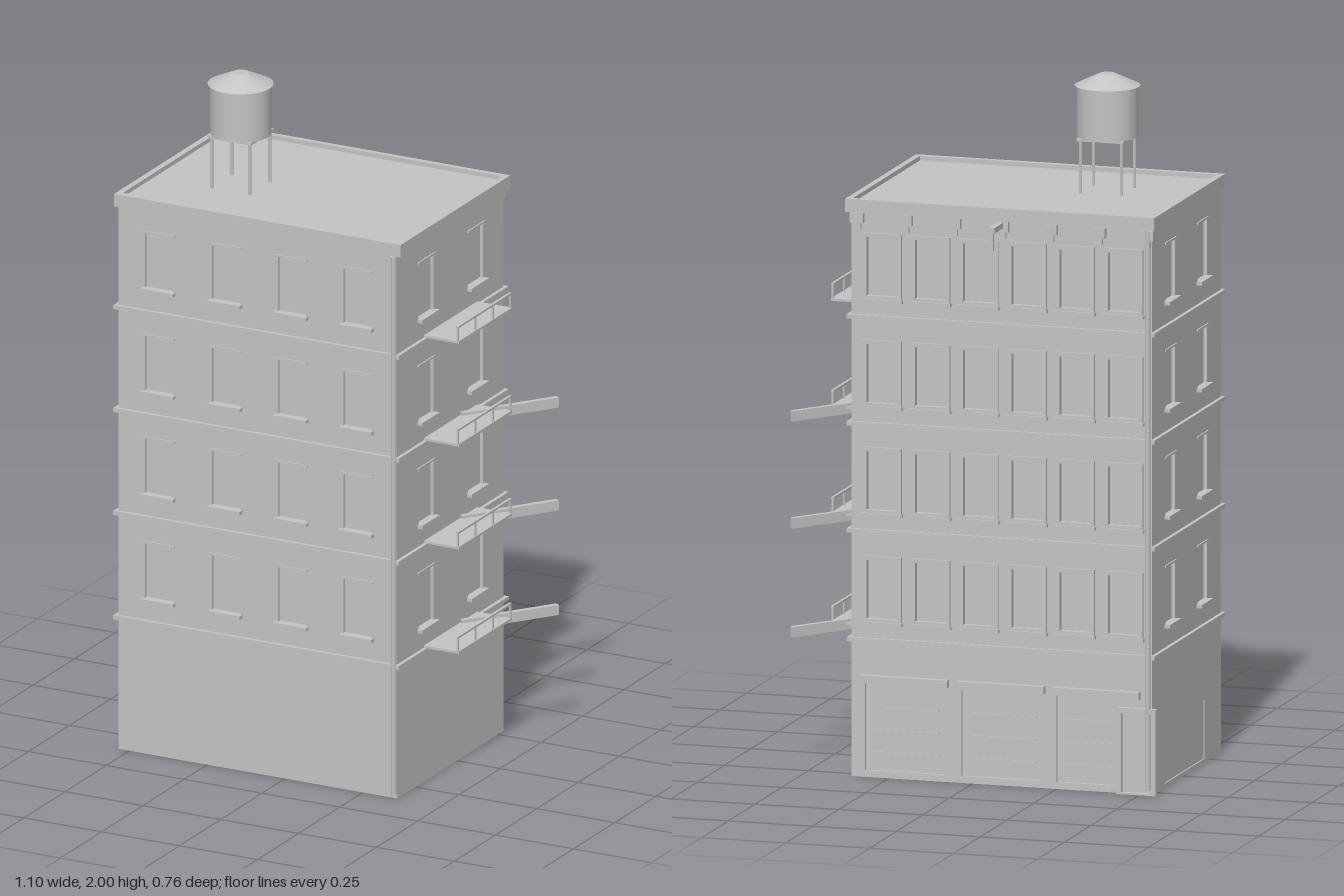
import * as THREE from 'three';

export function createModel() {
  const model = new THREE.Group();
  const grey = new THREE.MeshStandardMaterial({ color: 0xc4c4c4 });
  grey.name = 'plain grey';

  const add = (parent, name, geo, x = 0, y = 0, z = 0) => {
    const m = new THREE.Mesh(geo, grey);
    m.name = name;
    m.position.set(x, y, z);
    parent.add(m);
    return m;
  };
  // Box given by its lower and upper corners
  const box = (parent, name, x0, x1, y0, y1, z0, z1) =>
    add(parent, name, new THREE.BoxGeometry(x1 - x0, y1 - y0, z1 - z0),
      (x0 + x1) / 2, (y0 + y1) / 2, (z0 + z1) / 2);
  const rect = (Type, x0, x1, y0, y1) => new Type([
    new THREE.Vector2(x0, y0), new THREE.Vector2(x1, y0),
    new THREE.Vector2(x1, y1), new THREE.Vector2(x0, y1)]);

  const CX = -0.0875, CZ = 0.0375, HX = 0.4475, HZ = 0.3225, TOP = 1.635, SKIN = 0.01;
  const floors = [0.4, 0.715, 1.025, 1.335];

  // Core of the building, behind the wall skins
  box(model, 'core', CX - HX + SKIN, CX + HX - SKIN, 0, TOP, CZ - HZ + SKIN, CZ + HZ - SKIN);

  // Wall skin with openings [u0, u1, y0, y1]; u runs to the right seen from outside
  const wall = (name, turn, half, dist, openings) => {
    const g = new THREE.Group();
    g.name = name;
    g.position.set(CX, 0, CZ);
    g.rotation.y = turn;
    const shape = rect(THREE.Shape, -half, half, 0, TOP);
    openings.forEach(o => shape.holes.push(rect(THREE.Path, ...o)));
    add(g, name + 'Skin', new THREE.ExtrudeGeometry(shape, { depth: SKIN, bevelEnabled: false }), 0, 0, dist - SKIN);
    model.add(g);
    return g;
  };
  const plainWindows = centres => floors.flatMap(b =>
    centres.map(c => [c - 0.045, c + 0.045, b + 0.07, b + 0.235]));
  // Sills and slim lintels for plain windows
  const trim = (g, dist, windows) => windows.forEach(([u0, u1, y0, y1]) => {
    box(g, 'sill', u0 - 0.008, u1 + 0.008, y0 - 0.01, y0, dist - SKIN, dist + 0.016);
    box(g, 'lintel', u0 - 0.006, u1 + 0.006, y1, y1 + 0.006, dist - SKIN, dist + 0.004);
  });

  // Front and side walls
  const frontWindows = plainWindows([-0.405, -0.19, 0.022, 0.232].map(x => x - CX));
  trim(wall('frontWall', 0, HX, HZ, frontWindows), HZ, frontWindows);
  const leftWindows = plainWindows([-0.115, 0.185].map(z => CZ - z));
  trim(wall('leftWall', Math.PI / 2, HZ, HX, leftWindows), HX, leftWindows);
  const rightWindows = plainWindows([-0.115, 0.185].map(z => z - CZ));
  const sidePanel = [-0.2, 0.17, 0.01, 0.18];
  const rightWall = wall('rightWall', -Math.PI / 2, HZ, HX, [...rightWindows, sidePanel]);
  trim(rightWall, HX, rightWindows);
  box(rightWall, 'sidePanel', ...sidePanel, HX - SKIN, HX - 0.004);

  // Back wall: six framed windows per floor above three shop bays
  const backU = [0.268, 0.123, -0.02, -0.164, -0.307, -0.451].map(x => CX - x);
  const backWindows = floors.flatMap(b => backU.map(c => [c - 0.045, c + 0.045, b + 0.06, b + 0.23]));
  const bays = [0.2, -0.0875, -0.37].map(x => [CX - x - 0.12, CX - x + 0.12, 0.02, 0.275]);
  const back = wall('backWall', Math.PI, HX, HZ, [...backWindows, ...bays]);
  backWindows.forEach(([u0, u1, y0, y1]) => {
    const frame = rect(THREE.Shape, u0 - 0.013, u1 + 0.013, y0 - 0.012, y1 + 0.012);
    frame.holes.push(rect(THREE.Path, u0, u1, y0, y1));
    add(back, 'windowFrame', new THREE.ExtrudeGeometry(frame, { depth: 0.008, bevelEnabled: false }), 0, 0, HZ);
    box(back, 'windowSill', u0 - 0.016, u1 + 0.016, y0 - 0.018, y0 - 0.008, HZ, HZ + 0.014);
  });
  bays.forEach(([u0, u1, y0, y1]) => {
    box(back, 'shopLintel', u0 - 0.01, u1 + 0.01, y1, y1 + 0.022, HZ - SKIN, HZ + 0.02);
    for (let i = 0; i < 3; i++) // shutter slats
      box(back, 'shutterSlat', u0 + 0.02, u1 - 0.02, 0.07 + i * 0.065, 0.074 + i * 0.065, HZ - SKIN, HZ - 0.006);
  });
  // Brackets beneath the cornice
  for (let i = 0; i < 7; i++) {
    const u = -0.428 + i * 0.1438;
    box(back, 'corniceBracket', u - 0.02, u + 0.02, 1.605, 1.635, HZ, HZ + 0.015);
    box(back, 'corniceBracketFoot', u - 0.01, u + 0.01, 1.585, 1.605, HZ, HZ + 0.01);
  }
  // Entrance at the back corner
  const entrance = rect(THREE.Shape, 0.345, 0.4625, 0, 0.25);
  entrance.holes.push(rect(THREE.Path, 0.36, 0.447, 0.005, 0.235));
  add(back, 'entranceFrame', new THREE.ExtrudeGeometry(entrance, { depth: 0.016, bevelEnabled: false }), 0, 0, HZ);
  box(back, 'entranceDoor', 0.36, 0.447, 0, 0.235, HZ - SKIN, HZ + 0.004);

  // String courses
  floors.forEach(y => box(model, 'stringCourse', CX - HX - 0.011, CX + HX + 0.011,
    y - 0.008, y + 0.004, CZ - HZ - 0.011, CZ + HZ + 0.011));

  // Roof deck with a low rim
  box(model, 'roofDeck', CX - HX, CX + HX, 1.63, 1.66, CZ - HZ, CZ + HZ);
  const rim = rect(THREE.Shape, -0.545, 0.375, -0.368, 0.297);
  rim.holes.push(rect(THREE.Path, -0.527, 0.357, -0.348, 0.28));
  add(model, 'roofRim', new THREE.ExtrudeGeometry(rim, { depth: 0.038, bevelEnabled: false }), 0, 1.635, 0)
    .rotation.x = -Math.PI / 2;

  // Drainpipes on two opposite corners
  [[0.353, 0.368], [-0.525, -0.296]].forEach(([x, z]) =>
    add(model, 'drainpipe', new THREE.CylinderGeometry(0.008, 0.008, 1.62, 8), x, 0.825, z));

  // Hoist beam and hook
  box(model, 'hoistBeam', -0.096, -0.078, 1.617, 1.633, -0.382, -0.28);
  box(model, 'hoistHook', -0.091, -0.083, 1.565, 1.617, -0.38, -0.37);

  // Water tank on four legs
  const tank = new THREE.Group();
  tank.name = 'waterTank';
  tank.position.set(-0.28, 0, 0.1);
  model.add(tank);
  for (const x of [-0.061, 0.061]) for (const z of [-0.061, 0.061])
    add(tank, 'tankLeg', new THREE.CylinderGeometry(0.005, 0.005, 0.165, 8), x, 1.7375, z);
  box(tank, 'tankPlatform', -0.07, 0.07, 1.812, 1.82, -0.07, 0.07);
  add(tank, 'tankBarrel', new THREE.CylinderGeometry(0.088, 0.088, 0.15, 32), 0, 1.893, 0);
  add(tank, 'tankRoof', new THREE.CylinderGeometry(0.044, 0.094, 0.024, 32), 0, 1.978, 0);
  add(tank, 'tankCap', new THREE.CylinderGeometry(0.022, 0.044, 0.01, 32), 0, 1.995, 0);

  // Balconies with an open outer rail; the lower three carry a ladder beam
  floors.forEach((f, i) => {
    const y = f + 0.003, g = new THREE.Group();
    g.name = 'balcony';
    model.add(g);
    box(g, 'balconyFloor', 0.355, 0.472, y, y + 0.007, -0.125, 0.198);
    box(g, 'topRail', 0.463, 0.471, y + 0.046, y + 0.052, -0.125, 0.198);
    for (let k = 0; k < 4; k++) {
      const z = -0.122 + k * 0.1057;
      box(g, 'railPost', 0.465, 0.47, y, y + 0.048, z - 0.0025, z + 0.0025);
    }
    if (i < 3) {
      const beam = add(g, 'ladderBeam', new THREE.BoxGeometry(0.016, 0.03, 0.305), 0.452, f + 0.003, -0.145);
      beam.rotation.y = -Math.atan2(0.184, 0.248);
    }
  });
  return model;
}
